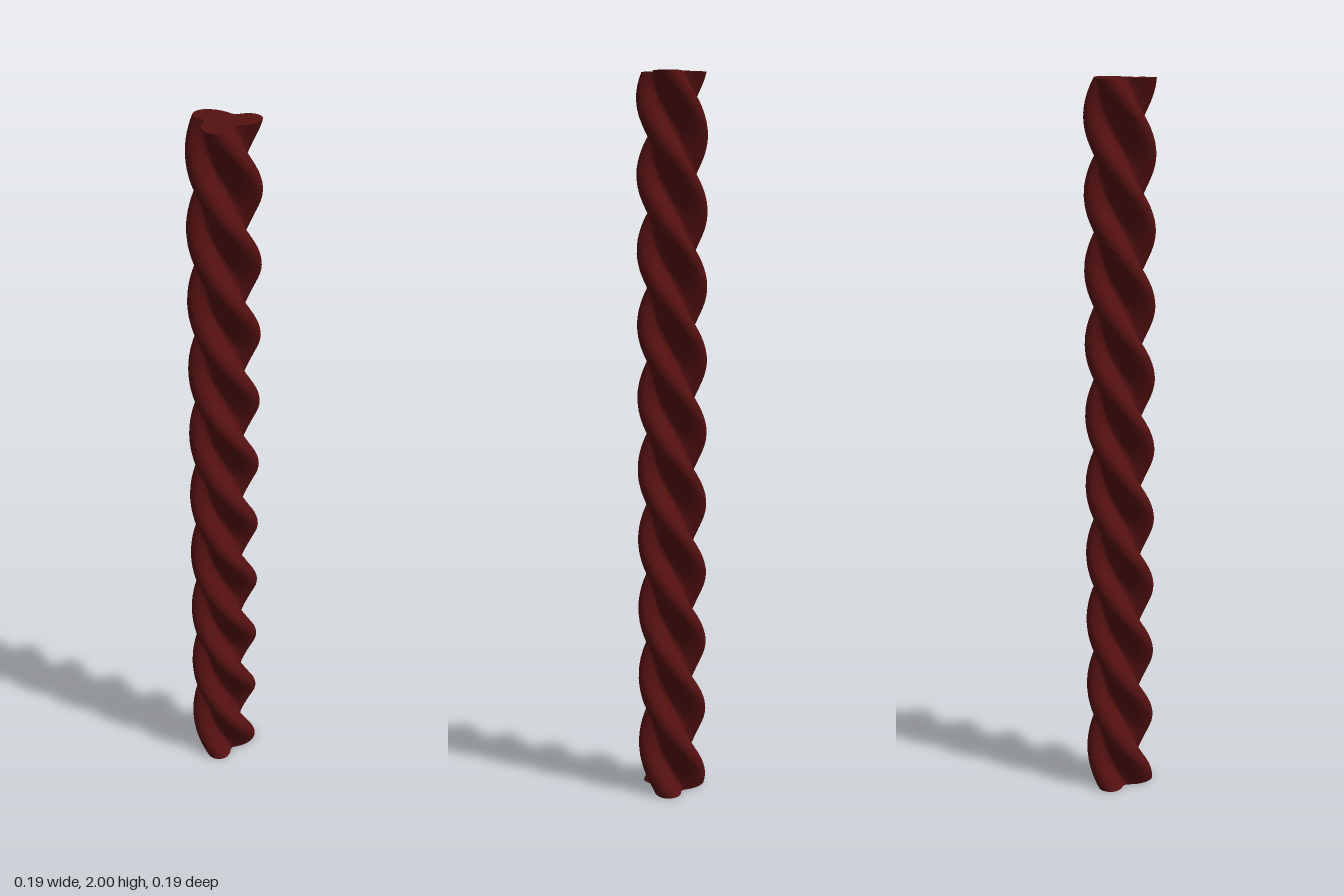
import * as THREE from 'three';
import { toCreasedNormals } from 'three/addons/utils/BufferGeometryUtils.js';

const HEIGHT = 2;
const TWIST = THREE.MathUtils.degToRad(1200);

// One lobe of the section: [angle in degrees, radius], repeated three times
const LOBE = [
  [37, 0.052], [48, 0.071], [58, 0.086], [68, 0.093], [78, 0.095], [88, 0.092],
  [99, 0.083], [112, 0.071], [125, 0.06], [140, 0.051], [150, 0.049],
];

// Closed three-lobed section
function sectionShape() {
  const points = [];
  for (let k = 0; k < 3; k++) {
    for (const [deg, r] of LOBE) {
      const a = THREE.MathUtils.degToRad(deg + k * 120);
      points.push(new THREE.Vector3(r * Math.cos(a), -r * Math.sin(a), 0));
    }
  }
  points.reverse(); // counter-clockwise after the flip to the ground plane
  const outline = new THREE.CatmullRomCurve3(points, true).getPoints(72).slice(0, -1);
  return new THREE.Shape(outline.map((p) => new THREE.Vector2(p.x, p.y)));
}

// Turns each level of an upright bar about its own axis
function twist(geometry) {
  const pos = geometry.attributes.position;
  const v = new THREE.Vector3();
  const up = new THREE.Vector3(0, 1, 0);
  for (let i = 0; i < pos.count; i++) {
    v.fromBufferAttribute(pos, i);
    v.applyAxisAngle(up, TWIST * (1 - v.y / HEIGHT));
    pos.setXYZ(i, v.x, v.y, v.z);
  }
  return geometry;
}

export function createModel() {
  const group = new THREE.Group();
  group.name = 'twistedColumn';

  // Solid bar with flat ends, extruded upward and twisted
  const bar = new THREE.ExtrudeGeometry(sectionShape(), {
    depth: HEIGHT, steps: 160, bevelEnabled: false,
  });
  bar.rotateX(-Math.PI / 2);
  const geometry = toCreasedNormals(twist(bar), 0.7);

  const column = new THREE.Mesh(geometry, new THREE.MeshStandardMaterial({ color: 0x551111 }));
  column.name = 'twistedBar';
  group.add(column);
  return group;
}
